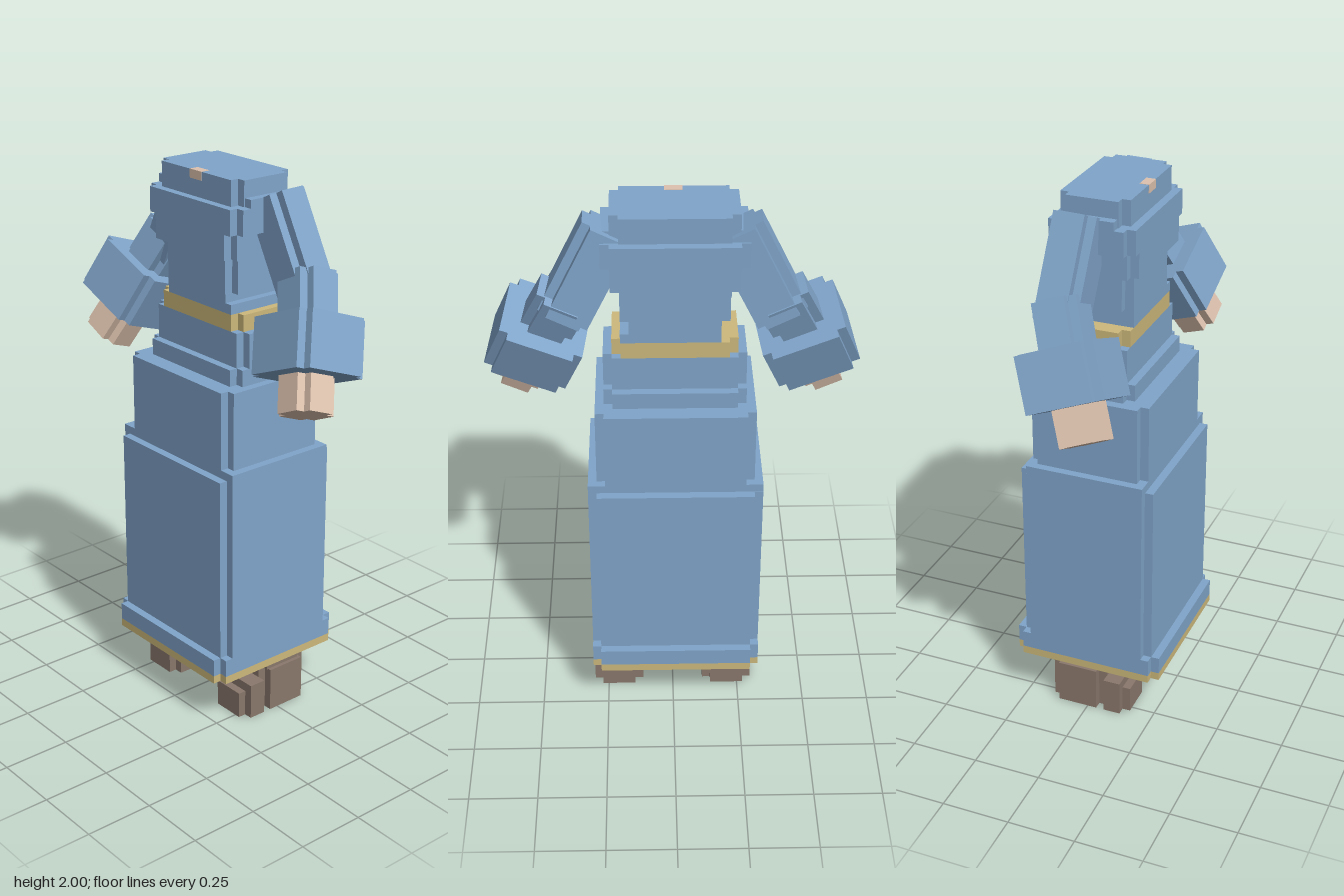
import * as THREE from 'three';

const mat = (name, color) => {
  const m = new THREE.MeshStandardMaterial({ color });
  m.name = name;
  return m;
};

export function createModel() {
  const blue = mat('robeBlue', 0x80a4c9);
  const gold = mat('trimGold', 0xcdb97c);
  const skin = mat('skin', 0xdec3af);
  const brown = mat('bootBrown', 0x8a786c);
  const model = new THREE.Group();
  model.name = 'robedFigure';

  const add = (parent, name, geometry, material) => {
    const mesh = new THREE.Mesh(geometry, material);
    mesh.name = name;
    parent.add(mesh);
    return mesh;
  };

  const box = (parent, name, material, [x0, x1], [y0, y1], [z0, z1]) =>
    add(parent, name, new THREE.BoxGeometry(x1 - x0, y1 - y0, z1 - z0)
      .translate((x0 + x1) / 2, (y0 + y1) / 2, (z0 + z1) / 2), material);

  // Upright block whose four vertical corners are cut out by one small step
  const notched = (parent, name, material, [x0, x1], [y0, y1], [z0, z1], n = 0.031) => {
    const a = -z1, b = -z0;
    const shape = new THREE.Shape([
      [x0 + n, a], [x1 - n, a], [x1 - n, a + n], [x1, a + n], [x1, b - n], [x1 - n, b - n],
      [x1 - n, b], [x0 + n, b], [x0 + n, b - n], [x0, b - n], [x0, a + n], [x0 + n, a + n],
    ].map(([x, y]) => new THREE.Vector2(x, y)));
    const g = new THREE.ExtrudeGeometry(shape, { depth: y1 - y0, bevelEnabled: false });
    return add(parent, name, g.rotateX(-Math.PI / 2).translate(0, y0, 0), material);
  };

  // Skirt, from the gold hem up to the waist
  notched(model, 'hemTrim', gold, [-0.32, 0.303], [0.19, 0.22], [-0.285, 0.28]);
  notched(model, 'hem', blue, [-0.32, 0.303], [0.22, 0.285], [-0.285, 0.28]);
  notched(model, 'lowerSkirt', blue, [-0.32, 0.303], [0.285, 0.975], [-0.253, 0.25]);
  box(model, 'lowerSkirtTop', blue, [-0.32, 0.303], [0.975, 1.005], [-0.22, 0.22]);
  notched(model, 'upperSkirt', blue, [-0.29, 0.272], [1.005, 1.29], [-0.22, 0.22]);
  notched(model, 'waistLedge', blue, [-0.257, 0.241], [1.29, 1.35], [-0.157, 0.155]);
  notched(model, 'waist', blue, [-0.257, 0.241], [1.35, 1.475], [-0.125, 0.125]);

  // Belt and torso
  notched(model, 'belt', gold, [-0.226, 0.21], [1.475, 1.535], [-0.125, 0.125]);
  box(model, 'midriffLower', blue, [-0.165, 0.18], [1.535, 1.57], [-0.125, 0.125]);
  box(model, 'midriffUpper', blue, [-0.165, 0.15], [1.57, 1.6], [-0.125, 0.125]);
  notched(model, 'torso', blue, [-0.197, 0.18], [1.6, 1.73], [-0.125, 0.125]);
  notched(model, 'chestLower', blue, [-0.226, 0.21], [1.73, 1.82], [-0.157, 0.155]);
  notched(model, 'chest', blue, [-0.257, 0.241], [1.82, 1.91], [-0.157, 0.155]);
  box(model, 'chestTop', blue, [-0.257, 0.241], [1.91, 1.94], [-0.09, 0.09]);
  notched(model, 'shoulders', blue, [-0.226, 0.21], [1.91, 2.0], [-0.125, 0.125]);

  // Small patch of skin at the neckline
  box(model, 'neckSkinTop', skin, [-0.037, 0.025], [1.997, 2.001], [0.092, 0.126]);
  box(model, 'neckSkinFront', skin, [-0.037, 0.025], [1.97, 2.001], [0.122, 0.127]);

  // Notched bar running between two points, its width kept in the xy plane
  const limb = (parent, name, material, from, to, width, depth) => {
    const p = new THREE.Vector3(...from), q = new THREE.Vector3(...to);
    const up = p.clone().sub(q);
    const length = up.length();
    up.normalize();
    const side = new THREE.Vector3(up.y, -up.x, 0).normalize();
    const front = new THREE.Vector3().crossVectors(side, up);
    const mesh = notched(parent, name, material,
      [-width / 2, width / 2], [0, length], [-depth / 2, depth / 2]);
    mesh.quaternion.setFromRotationMatrix(new THREE.Matrix4().makeBasis(side, up, front));
    mesh.position.copy(q);
  };

  for (const [sideName, s] of [['right', -1], ['left', 1]]) {
    // Arm: sloping sleeve, bent forward at the elbow into a wide cuff
    const arm = new THREE.Group();
    arm.name = sideName + 'Arm';
    model.add(arm);
    limb(arm, 'upperSleeve', blue, [s * 0.215, 1.93, -0.04], [s * 0.375, 1.61, -0.05], 0.185, 0.155);
    limb(arm, 'lowerSleeve', blue, [s * 0.365, 1.69, -0.055], [s * 0.465, 1.475, 0.03], 0.185, 0.16);
    limb(arm, 'cuff', blue, [s * 0.435, 1.56, -0.003], [s * 0.503, 1.39, 0.067], 0.3, 0.28);
    limb(arm, 'hand', skin, [s * 0.48, 1.44, 0.045], [s * 0.552, 1.28, 0.115], 0.165, 0.155);

    // Boot with a stepped toe
    const boot = new THREE.Group();
    boot.name = sideName + 'Boot';
    model.add(boot);
    const c = s * 0.209;
    const span = (h) => [c - h, c + h];
    box(boot, 'toe', brown, span(0.062), [0, 0.1], [0.13, 0.16]);
    box(boot, 'instep', brown, span(0.094), [0, 0.135], [0.065, 0.13]);
    notched(boot, 'heel', brown, span(0.094), [0, 0.167], [-0.148, 0.066]);
    box(boot, 'ankle', brown, span(0.08), [0.165, 0.195], [-0.11, 0.04]);
  }
  return model;
}
